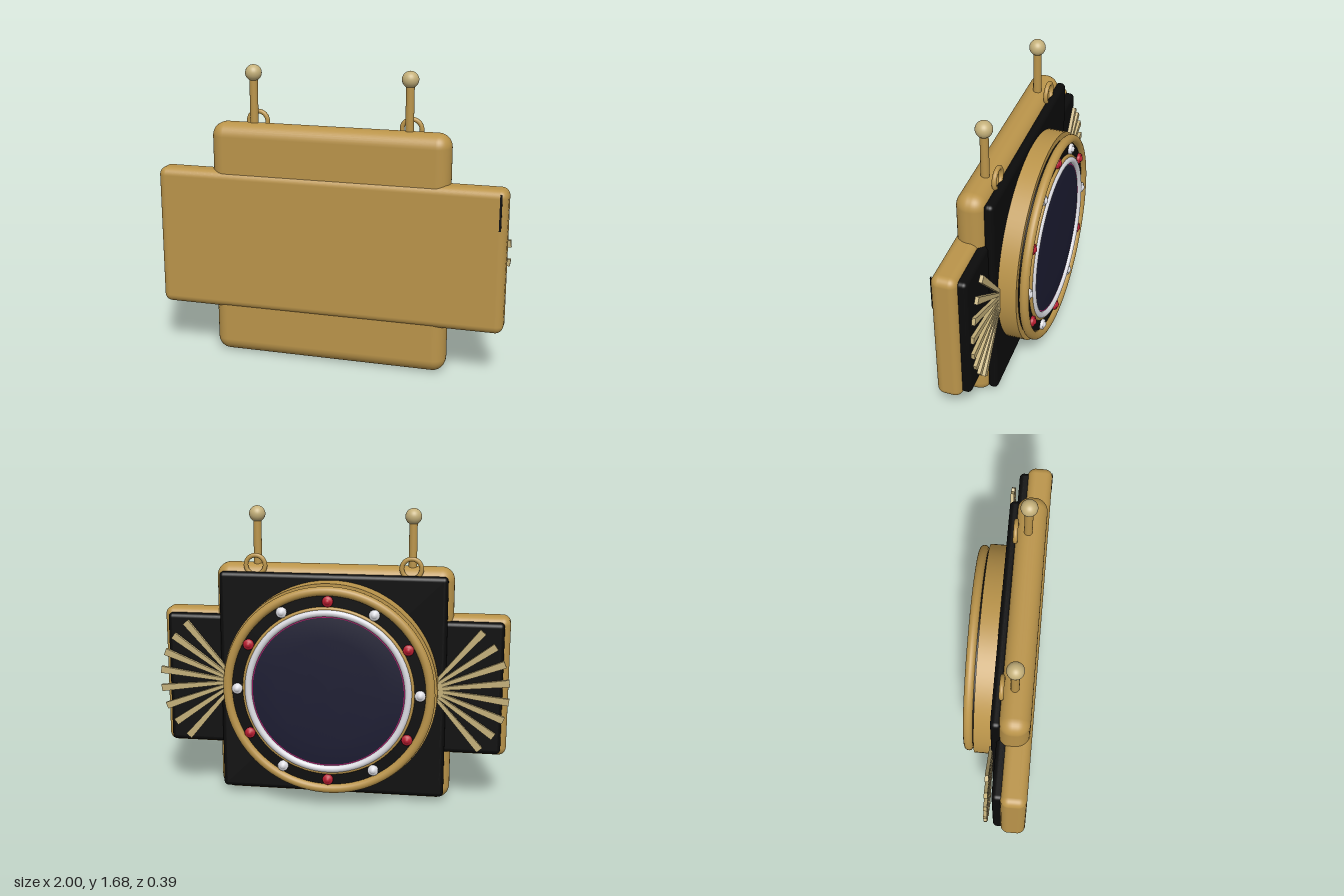
import * as THREE from 'three';
import { RoundedBoxGeometry } from 'three/addons/geometries/RoundedBoxGeometry.js';

function material(name, color, side = THREE.FrontSide) {
  const m = new THREE.MeshStandardMaterial({ color, side });
  m.name = name;
  return m;
}

export function createModel() {
  const gold = material('gold', 0xba944a);
  const brass = material('pale brass', 0xc4b07a);
  const black = material('black', 0x0b0b0b);
  const navy = material('navy', 0x1c1c32);
  const white = material('silver white', 0xdcdce2);
  const red = material('red', 0xb81c30);
  const magenta = material('magenta', 0xb0186c);

  const model = new THREE.Group();
  model.name = 'buckle';
  const CY = 0.685; // height of the dial centre

  function add(parent, name, geometry, mat, x = 0, y = 0, z = 0) {
    const mesh = new THREE.Mesh(geometry, mat);
    mesh.name = name;
    mesh.position.set(x, y, z);
    parent.add(mesh);
    return mesh;
  }
  // Rounded slab given by its size and its z range
  function slab(name, w, h, z0, z1, r, mat, y = CY) {
    return add(model, name, new RoundedBoxGeometry(w, h, z1 - z0, 5, r), mat, 0, y, (z0 + z1) / 2);
  }

  // Stacked body plates
  slab('mainPlate', 1.35, 1.355, 0.012, 0.18, 0.075, gold, 0.6825);
  slab('widePlate', 1.985, 0.81, 0.05, 0.192, 0.045, gold);
  slab('backPanel', 1.29, 1.28, -0.028, 0.03, 0.025, black, 0.68);
  slab('wideBackPanel', 1.92, 0.76, 0.004, 0.07, 0.025, black);
  add(model, 'frontSlot', new THREE.BoxGeometry(0.012, 0.2, 0.004), black, 0.957, 0.97, 0.192);

  // Antennas and hanging loops
  for (const s of [-1, 1]) {
    const x = s * 0.44;
    add(model, 'antennaRod', new THREE.CylinderGeometry(0.023, 0.023, 0.29, 24), gold, x, 1.465, 0.085);
    add(model, 'antennaKnob', new THREE.SphereGeometry(0.046, 28, 20), brass, x, 1.638, 0.085);
    add(model, 'loop', new THREE.TorusGeometry(0.055, 0.013, 14, 36), gold, x, 1.357, 0.018);
  }

  // Fans of tapered rays on both sides of the dial
  const rayShape = new THREE.Shape([
    new THREE.Vector2(0.03, -0.008), new THREE.Vector2(0.45, -0.02),
    new THREE.Vector2(0.45, 0.02), new THREE.Vector2(0.03, 0.008),
  ]);
  const rayGeometry = new THREE.ExtrudeGeometry(rayShape, { depth: 0.02, bevelEnabled: false });
  const RAYS = 8;
  for (const s of [-1, 1]) {
    const fan = new THREE.Group();
    fan.name = s > 0 ? 'leftFan' : 'rightFan';
    fan.position.set(s * 0.55, CY, -0.03);
    for (let i = 0; i < RAYS; i++) {
      const angle = (i / (RAYS - 1) - 0.5) * 1.72;
      const ray = add(fan, 'ray', rayGeometry, brass, 0, 0, -0.01);
      ray.rotation.z = s > 0 ? angle : Math.PI - angle;
    }
    model.add(fan);
  }

  // Dial on the back: local +z points away from the body
  const dial = new THREE.Group();
  dial.name = 'dial';
  dial.position.y = CY;
  dial.rotation.y = Math.PI;
  model.add(dial);

  // Turned part from (radius, z) points, listed from the inside bottom
  function turned(name, points, mat) {
    const g = new THREE.LatheGeometry(points.map(([r, z]) => new THREE.Vector2(r, z)), 96);
    g.rotateX(Math.PI / 2);
    return add(dial, name, g, mat);
  }
  function disc(name, r, z0, z1, mat) {
    const g = new THREE.CylinderGeometry(r, r, z1 - z0, 96);
    g.rotateX(Math.PI / 2);
    return add(dial, name, g, mat, 0, 0, (z0 + z1) / 2);
  }
  disc('drum', 0.605, 0.02, 0.13, gold);
  disc('dialFace', 0.57, 0.12, 0.165, black);
  add(dial, 'outerRim', new THREE.TorusGeometry(0.57, 0.026, 18, 96), gold, 0, 0, 0.164);
  add(dial, 'innerRim', new THREE.TorusGeometry(0.472, 0.012, 12, 96), gold, 0, 0, 0.168);
  add(dial, 'lensRing', new THREE.TorusGeometry(0.45, 0.02, 16, 96), white, 0, 0, 0.173);
  add(dial, 'lensEdge', new THREE.RingGeometry(0.42, 0.45, 96), magenta, 0, 0, 0.174);
  turned('lens', [[0.427, 0.165], [0.424, 0.175], [0.3, 0.178], [0.15, 0.18], [0, 0.18]], navy);

  // Twelve studs in alternating colours
  const studProfile = [[0.03, 0], [0.031, 0.012], [0.026, 0.019], [0.018, 0.018], [0.016, 0.024], [0.008, 0.029], [0, 0.03]];
  const studGeometry = new THREE.LatheGeometry(studProfile.map(([r, z]) => new THREE.Vector2(r, z)), 24);
  studGeometry.rotateX(Math.PI / 2);
  for (let i = 0; i < 12; i++) {
    const a = (i * Math.PI) / 6;
    add(dial, 'stud', studGeometry, i % 2 ? red : white, 0.514 * Math.cos(a), 0.514 * Math.sin(a), 0.165);
  }

  return model;
}
